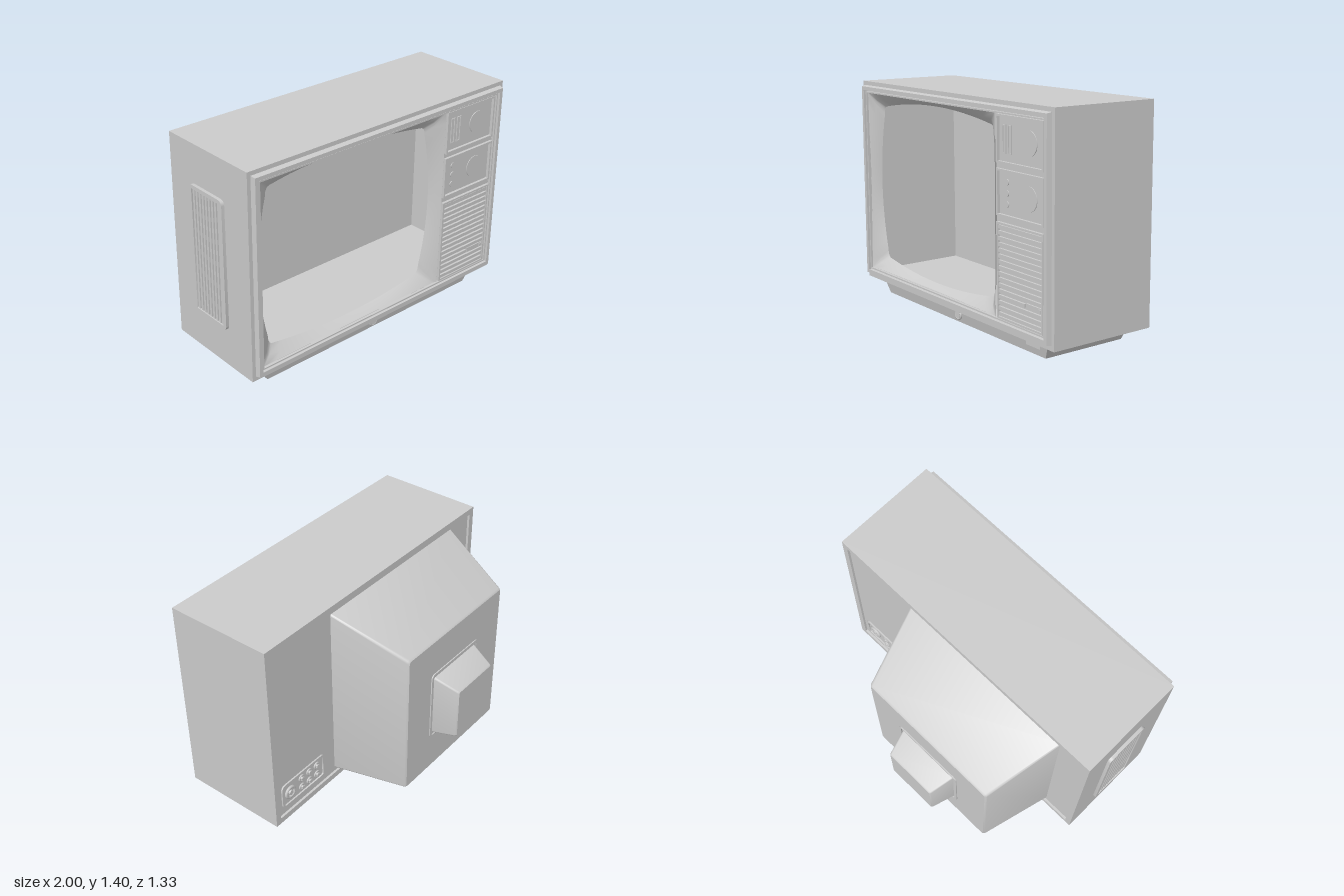
import * as THREE from 'three';
import { toCreasedNormals } from 'three/addons/utils/BufferGeometryUtils.js';

const grey = new THREE.MeshStandardMaterial({ color: 0xcccccc });
const greyThin = new THREE.MeshStandardMaterial({ color: 0xcccccc, side: THREE.DoubleSide });

// Counter-clockwise rectangle loop at height z, with optional rounded corners
function rect(x0, x1, y0, y1, z, r = 0) {
  const n = r ? 4 : 0, pts = [];
  const corners = [[x1 - r, y1 - r], [x0 + r, y1 - r], [x0 + r, y0 + r], [x1 - r, y0 + r]];
  corners.forEach(([cx, cy], k) => {
    for (let i = 0; i <= n; i++) {
      const a = (k + (n ? i / n : 0)) * Math.PI / 2;
      pts.push(new THREE.Vector3(cx + r * Math.cos(a), cy + r * Math.sin(a), z));
    }
  });
  return pts;
}

// Surface through a list of equal-length loops, optionally capped at both ends
function skin(loops, caps = true) {
  const n = loops[0].length, pos = [], index = [];
  loops.flat().forEach(p => pos.push(p.x, p.y, p.z));
  for (let k = 0; k < loops.length - 1; k++) {
    for (let i = 0; i < n; i++) {
      const a = k * n + i, b = k * n + (i + 1) % n;
      index.push(a, b, b + n, a, b + n, a + n);
    }
  }
  if (caps) {
    const top = (loops.length - 1) * n;
    for (let i = 1; i < n - 1; i++) index.push(0, i + 1, i, top, top + i, top + i + 1);
  }
  const g = new THREE.BufferGeometry();
  g.setAttribute('position', new THREE.Float32BufferAttribute(pos, 3));
  g.setIndex(index);
  return toCreasedNormals(g, 0.6);
}

// Rectangular frame of width w from z0 to z1; the outer edge tapers by t
function ring(x0, x1, y0, y1, w, z0, z1, r = 0, t = 0) {
  const ri = r && Math.max(r - w, 0.004);
  const inner = z => rect(x0 + w, x1 - w, y0 + w, y1 - w, z, ri);
  const back = rect(x0, x1, y0, y1, z0, r);
  return skin([back, rect(x0 + t, x1 - t, y0 + t, y1 - t, z1, r), inner(z1), inner(z0), back], false);
}

function add(parent, name, geometry, material = grey) {
  const m = new THREE.Mesh(geometry, material);
  m.name = name;
  parent.add(m);
  return m;
}

function box(parent, name, x0, x1, y0, y1, z0, z1) {
  const m = add(parent, name, new THREE.BoxGeometry(x1 - x0, y1 - y0, z1 - z0));
  m.position.set((x0 + x1) / 2, (y0 + y1) / 2, (z0 + z1) / 2);
  return m;
}

// Disc or knob with its axis along z
function disc(parent, name, x, y, r, z0, z1, r2 = r) {
  const g = new THREE.CylinderGeometry(r2, r, z1 - z0, 32).rotateX(Math.PI / 2);
  const m = add(parent, name, g);
  m.position.set(x, y, (z0 + z1) / 2);
  return m;
}

function group(parent, name) {
  const g = new THREE.Group();
  g.name = name;
  parent.add(g);
  return g;
}

// Sloping mask from the rectangular bezel to the bulging picture opening
function screenMask() {
  const V = (x, y) => new THREE.Vector2(x, y);
  const cx = -0.215, cy = 0.745, a = 0.605, b = 0.5, c = 0.575, d = 0.44;
  const A = 0.705, B = 0.59, n = 16;
  const signs = [[1, 1], [-1, 1], [-1, -1], [1, -1]];
  const outer = [], mid = [], opening = [];
  signs.forEach(([sx, sy], k) => {
    const [tx, ty] = signs[(k + 1) % 4];
    const onSide = V(sx * a, sy * d), onTop = V(sx * c, sy * b);
    const start = k % 2 ? onTop : onSide, end = k % 2 ? onSide : onTop;
    const corner = new THREE.QuadraticBezierCurve(start, V(sx * 0.603, sy * 0.493), end);
    const next = k % 2 ? V(tx * a, ty * d) : V(tx * c, ty * b);
    const bulge = k % 2 ? V(sx * 0.715, 0) : V(0, sy * 0.6);
    const side = new THREE.QuadraticBezierCurve(end, bulge, next);
    const put = (p, ox, oy) => {
      const q = V(ox, oy).lerp(p, 0.6);
      outer.push(new THREE.Vector3(cx + ox, cy + oy, 0.648));
      mid.push(new THREE.Vector3(cx + q.x, cy + q.y, 0.615));
      opening.push(new THREE.Vector3(cx + p.x, cy + p.y, 0.575));
    };
    for (let i = 0; i < 6; i++) put(corner.getPoint(i / 6), sx * A, sy * B);
    for (let i = 0; i < n; i++) {
      const t = i / n;
      put(side.getPoint(t), A * (sx + (tx - sx) * t), B * (sy + (ty - sy) * t));
    }
  });
  return skin([outer, mid, opening], false);
}

export function createModel() {
  const tv = new THREE.Group();
  tv.name = 'television';

  // Cabinet shell and recessed back panel
  add(tv, 'cabinet', ring(-0.98, 1, 0.095, 1.4, 0.04, -0.06, 0.635));
  box(tv, 'backPanel', -0.95, 0.97, 0.12, 1.37, -0.045, -0.035);

  // Front bezel, inner trim and picture mask
  add(tv, 'bezel', ring(-0.96, 0.98, 0.12, 1.378, 0.033, 0.62, 0.665, 0, 0.01));
  add(tv, 'bezelGroove', ring(-0.95, 0.97, 0.13, 1.37, 0.04, 0.61, 0.638));
  add(tv, 'innerTrim', ring(-0.92, 0.94, 0.16, 1.338, 0.009, 0.62, 0.655));
  add(tv, 'screenMask', screenMask(), greyThin);

  // Control column
  const controls = group(tv, 'controls');
  box(controls, 'controlBoard', 0.49, 0.945, 0.155, 1.345, 0.6, 0.635);
  for (const [y0, y1] of [[1.055, 1.325], [0.76, 1.025], [0.17, 0.725]]) {
    add(controls, 'panelFrame', ring(0.505, 0.922, y0, y1, 0.012, 0.63, 0.652));
  }
  disc(controls, 'upperDial', 0.785, 1.19, 0.07, 0.63, 0.639);
  disc(controls, 'lowerDial', 0.785, 0.89, 0.07, 0.63, 0.639);
  for (const x of [0.55, 0.6]) add(controls, 'slider', ring(x, x + 0.032, 1.11, 1.27, 0.006, 0.63, 0.641));
  for (const y of [0.955, 0.893, 0.83]) disc(controls, 'smallButton', 0.587, y, 0.018, 0.63, 0.64);

  // Speaker grille, with a switch set into one row
  const grille = group(tv, 'speakerGrille');
  for (let i = 0; i < 16; i++) {
    const y = 0.185 + i * 0.0335;
    box(grille, 'slat', 0.515, i === 3 ? 0.757 : 0.912, y, y + 0.021, 0.63, 0.648);
    if (i === 3) {
      box(grille, 'switchPlate', 0.765, 0.912, y - 0.005, y + 0.026, 0.63, 0.645);
      box(grille, 'switchButton', 0.882, 0.9, y, y + 0.02, 0.64, 0.65);
    }
  }

  // Tapered plinth with a knob and a small slot plate
  const base = skin([rect(-0.82, 0.84, -0.565, -0.01, 0), rect(-0.865, 0.885, -0.585, 0.01, 0.097)]);
  add(tv, 'plinth', base.rotateX(-Math.PI / 2));
  disc(tv, 'plinthKnob', 0.005, 0.05, 0.026, 0.55, 0.585, 0.022);
  const collar = add(tv, 'knobCollar', new THREE.TorusGeometry(0.027, 0.007, 8, 32));
  collar.position.set(0.005, 0.05, 0.578);
  box(tv, 'plinthSlot', 0.68, 0.81, 0.045, 0.07, 0.55, 0.58);

  // Rear tube housing, flange and neck cover
  add(tv, 'tubeHousing', skin([
    rect(-0.628, 0.308, 0.172, 1.135, -0.512, 0.015),
    rect(-0.638, 0.318, 0.162, 1.147, -0.502, 0.02),
    rect(-0.755, 0.44, 0.16, 1.338, -0.04, 0.012),
  ]));
  add(tv, 'neckFlange', ring(-0.4, 0.085, 0.41, 0.9, 0.018, -0.519, -0.505, 0.03));
  add(tv, 'neckCover', skin([
    rect(-0.325, 0.012, 0.468, 0.803, -0.667, 0.01),
    rect(-0.332, 0.019, 0.461, 0.811, -0.659, 0.012),
    rect(-0.372, 0.057, 0.44, 0.87, -0.508, 0.012),
  ]));

  // Rear socket plate
  const sockets = group(tv, 'socketPlate');
  add(sockets, 'plateFrame', ring(0.54, 0.93, 0.18, 0.36, 0.016, -0.055, -0.04, 0.03));
  const socket = (x, y, r) => {
    disc(sockets, 'socketPin', x, y, r * 0.45, -0.06, -0.04);
    const t = add(sockets, 'socketRing', new THREE.TorusGeometry(r, r * 0.3, 8, 24));
    t.position.set(x, y, -0.048);
  };
  socket(0.855, 0.27, 0.036);
  for (const x of [0.61, 0.68, 0.75]) for (const y of [0.235, 0.305]) socket(x, y, 0.02);

  // Side vent, modelled facing +z and turned to face -x
  const vent = group(tv, 'sideVent');
  add(vent, 'ventFrame', ring(-0.15, 0.15, 0.34, 1.16, 0.025, -0.005, 0.02, 0.03));
  for (let i = 0; i < 9; i++) {
    const x = -0.112 + i * 0.028;
    box(vent, 'ventSlat', x - 0.008, x + 0.008, 0.36, 1.14, -0.005, 0.014);
  }
  vent.rotation.y = -Math.PI / 2;
  vent.position.set(-0.98, 0, 0.28);

  return tv;
}
